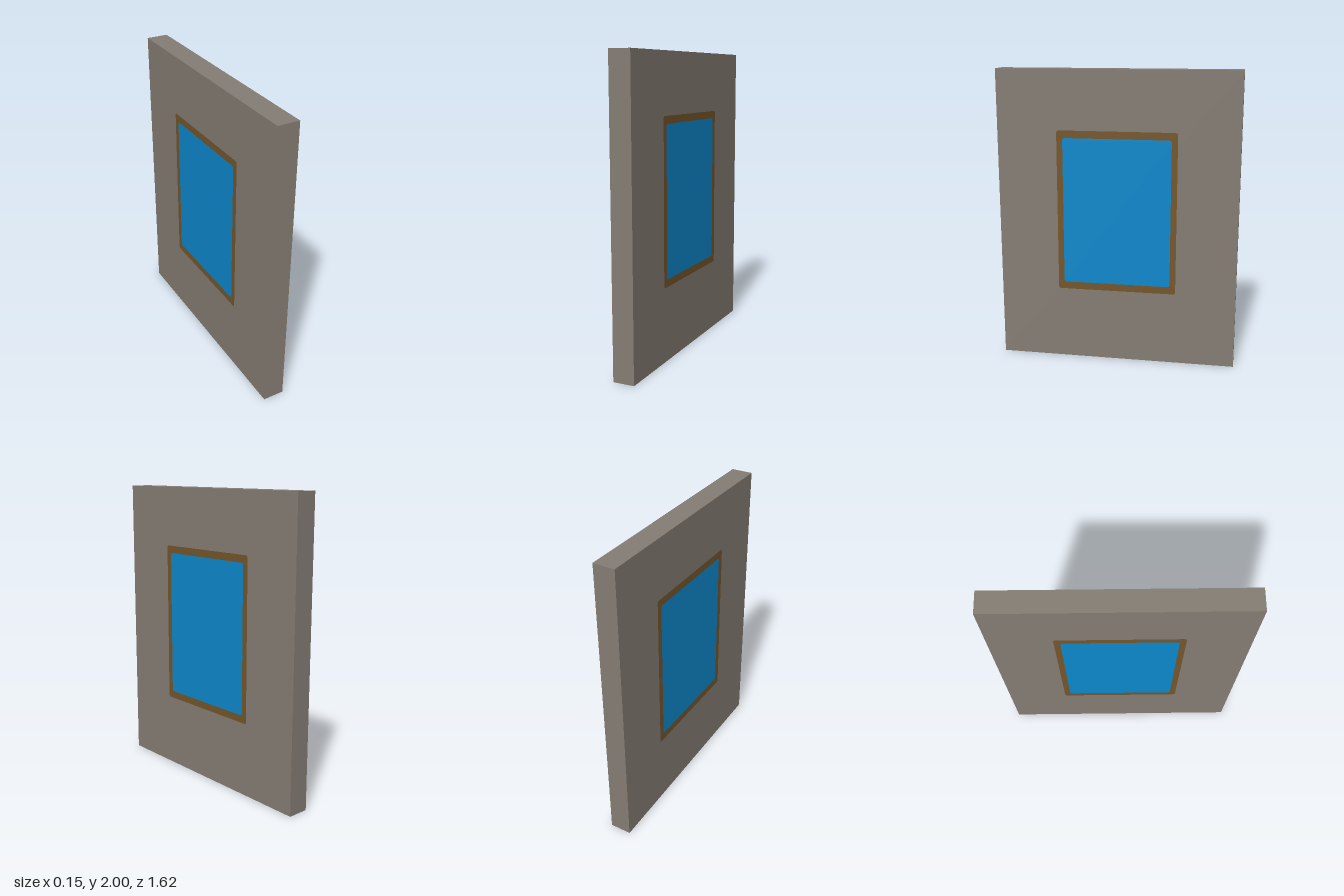
import * as THREE from 'three';

const wallMaterial = new THREE.MeshStandardMaterial({ color: 0x857d74 });
wallMaterial.name = 'warm grey wall';
const frameMaterial = new THREE.MeshStandardMaterial({ color: 0x75562b });
frameMaterial.name = 'brown wood';
const glassMaterial = new THREE.MeshStandardMaterial({ color: 0x0d89cc });
glassMaterial.name = 'blue glass';

const WALL = { thickness: 0.144, height: 2, depth: 1.624 };
const FRAME = { width: 0.81, height: 1.1 };
const PANE = { width: 0.73, height: 1.0 };
const WINDOW_Y = 1.05;

// Rectangle with slightly rounded corners, centred on the origin
function roundedRect(target, { width, height }, r = 0.018) {
  const x = width / 2, y = height / 2;
  target.moveTo(-x + r, -y);
  target.lineTo(x - r, -y).quadraticCurveTo(x, -y, x, -y + r);
  target.lineTo(x, y - r).quadraticCurveTo(x, y, x - r, y);
  target.lineTo(-x + r, y).quadraticCurveTo(-x, y, -x, y - r);
  target.lineTo(-x, -y + r).quadraticCurveTo(-x, -y, -x + r, -y);
  return target;
}

function addMesh(parent, name, geometry, material) {
  const mesh = new THREE.Mesh(geometry, material);
  mesh.name = name;
  parent.add(mesh);
  return mesh;
}

export function createModel() {
  const model = new THREE.Group();
  model.name = 'wallPanel';

  // Wall slab
  const wall = addMesh(model, 'wall',
    new THREE.BoxGeometry(WALL.thickness, WALL.height, WALL.depth), wallMaterial);
  wall.position.y = WALL.height / 2;

  // Flush window faces: a frame ring around a pane
  const frameShape = roundedRect(new THREE.Shape(), FRAME);
  frameShape.holes.push(roundedRect(new THREE.Path(), PANE));
  const frameGeometry = new THREE.ShapeGeometry(frameShape, 4);
  const paneGeometry = new THREE.ShapeGeometry(roundedRect(new THREE.Shape(), PANE), 4);

  // One window on each broad side
  for (const side of [1, -1]) {
    const window = new THREE.Group();
    window.name = side > 0 ? 'leftWindow' : 'rightWindow';
    addMesh(window, 'windowFrame', frameGeometry, frameMaterial);
    addMesh(window, 'windowPane', paneGeometry, glassMaterial);
    window.rotation.y = side * Math.PI / 2;
    window.position.set(side * (WALL.thickness / 2 + 0.002), WINDOW_Y, 0);
    model.add(window);
  }

  return model;
}
